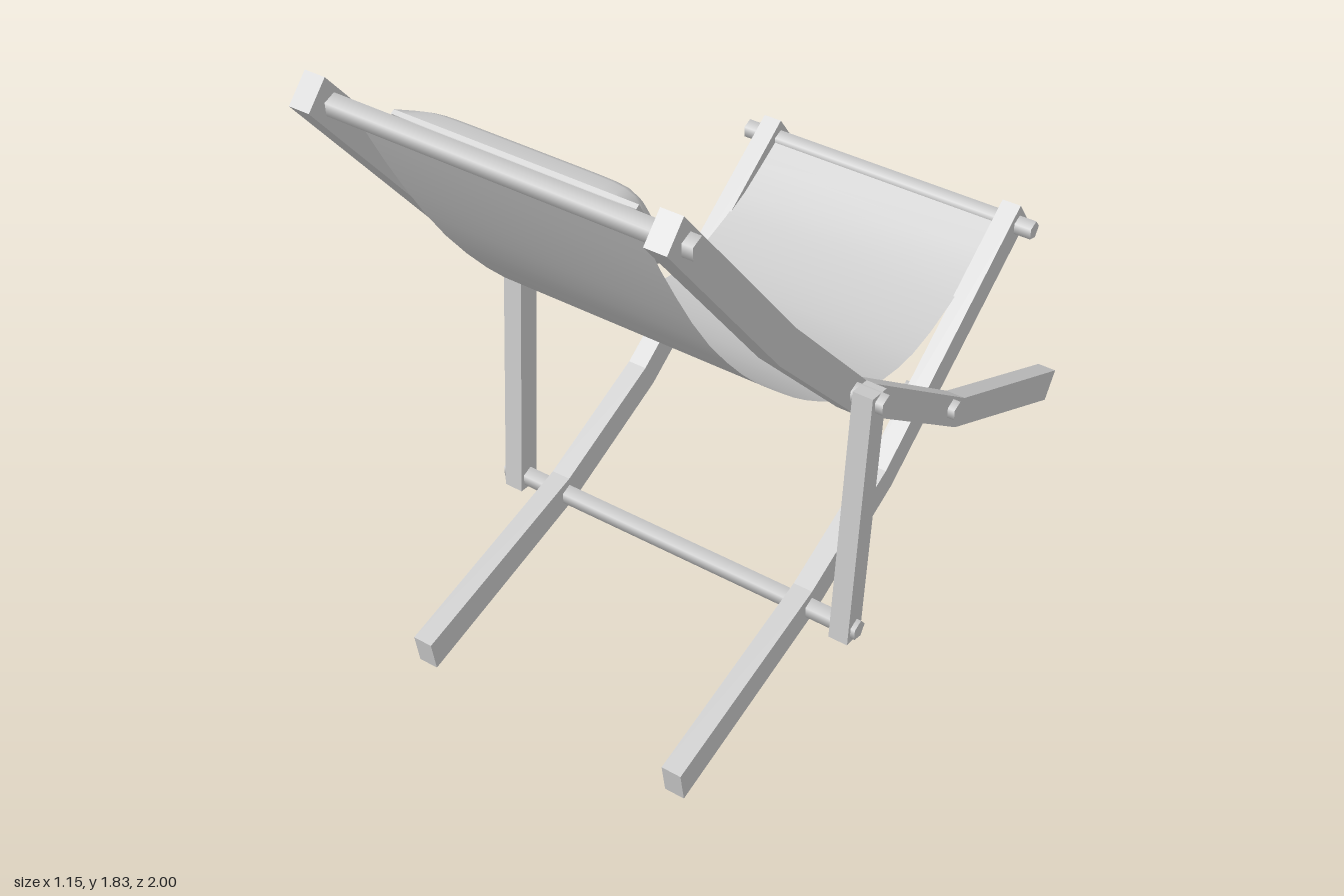
import * as THREE from 'three';

export function createModel() {
  const chair = new THREE.Group();
  chair.name = 'deckChair';
  const grey = new THREE.MeshStandardMaterial({ color: 0xcccccc, side: THREE.DoubleSide });
  grey.name = 'light grey';

  const add = (name, geometry) => {
    const mesh = new THREE.Mesh(geometry, grey);
    mesh.name = name;
    chair.add(mesh);
  };

  // Flat wooden bar: side profile of [z, y] points, given a width along x
  const bar = (name, profile, x, width = 0.056) => {
    const shape = new THREE.Shape(profile.map(([z, y]) => new THREE.Vector2(z, y)));
    const geo = new THREE.ExtrudeGeometry(shape, { depth: width, bevelEnabled: false });
    geo.rotateY(-Math.PI / 2);
    geo.translate(x + width / 2, 0, 0);
    add(name, geo);
  };

  // Five-sided dowel running along x, one edge pointing down
  const dowel = (name, x0, x1, y, z, r = 0.028) => {
    const geo = new THREE.CylinderGeometry(r, r, Math.abs(x1 - x0), 5);
    geo.rotateZ(Math.PI / 2);
    geo.rotateX(Math.PI);
    geo.translate((x0 + x1) / 2, y, z);
    add(name, geo);
  };

  const backRail = [
    [0.94, 1.83], [0.517, 1.27], [0.163, 0.858], [-0.38, 0.418], [-1, 0.08],
    [-0.945, 0.003], [-0.335, 0.345], [0.225, 0.8], [0.583, 1.205], [1, 1.77],
  ];
  const seatRail = [
    [0.907, 0.103], [0.3, 0.218], [-0.07, 0.354], [-0.778, 0.798],
    [-0.83, 0.723], [-0.105, 0.274], [0.262, 0.137], [0.895, 0.01],
  ];
  const strut = [[0.272, 0.915], [0.205, 0.903], [0.28, 0.13], [0.346, 0.138]];

  // Frame and pivots, mirrored left and right
  for (const [side, s] of [['left', 1], ['right', -1]]) {
    bar(side + 'BackRail', backRail, s * 0.457);
    bar(side + 'SeatRail', seatRail, s * 0.391);
    bar(side + 'Strut', strut, s * 0.526);
    dowel(side + 'StrutPivot', s * 0.41, s * 0.575, 0.882, 0.237);
    dowel(side + 'RailPivot', s * 0.34, s * 0.506, 0.437, -0.303);
  }

  // Cross bars
  dowel('topBar', -0.512, 0.512, 1.755, 0.928);
  dowel('seatBar', -0.47, 0.47, 0.738, -0.77);
  dowel('lowerBar', -0.567, 0.567, 0.169, 0.309);

  // Sling: a single sheet swept across x along a hanging curve
  const curve = new THREE.CatmullRomCurve3([
    [0.93, 1.755], [0.84, 1.56], [0.7, 1.305], [0.54, 1.09], [0.4, 0.945], [0.27, 0.825],
    [0.08, 0.69], [-0.11, 0.615], [-0.3, 0.588], [-0.55, 0.643], [-0.77, 0.75],
  ].map(([z, y]) => new THREE.Vector3(0, y, z)));
  const steps = 24;
  const sling = new THREE.PlaneGeometry(0.735, 1, 1, steps);
  const pos = sling.attributes.position;
  for (let i = 0; i < pos.count; i++) {
    const p = curve.getPoint(Math.floor(i / 2) / steps);
    // Reversed x keeps the sitting side as the front
    pos.setXYZ(i, -pos.getX(i), p.y, p.z);
  }
  sling.computeVertexNormals();
  add('fabricSling', sling);

  // Headrest: thin slab bulging on both faces, leaned against the sling
  const w = 0.64, h = 0.24;
  const pillow = new THREE.BoxGeometry(w, h, 0.012, 20, 12, 1);
  const pp = pillow.attributes.position;
  for (let i = 0; i < pp.count; i++) {
    const u = Math.abs(pp.getX(i)) / (w / 2), v = Math.abs(pp.getY(i)) / (h / 2);
    const bulge = 0.05 * (1 - u ** 10) * (1 - v ** 6);
    pp.setZ(i, Math.sign(pp.getZ(i)) * (0.006 + bulge));
  }
  pillow.computeVertexNormals();
  const up = new THREE.Vector3(0, 0.89, 0.456).normalize();
  const out = new THREE.Vector3(0, 0.456, -0.89).normalize();
  pillow.applyMatrix4(new THREE.Matrix4().makeBasis(new THREE.Vector3(-1, 0, 0), up, out));
  pillow.translate(-0.003, 1.632, 0.806);
  add('headrestPillow', pillow);

  return chair;
}
